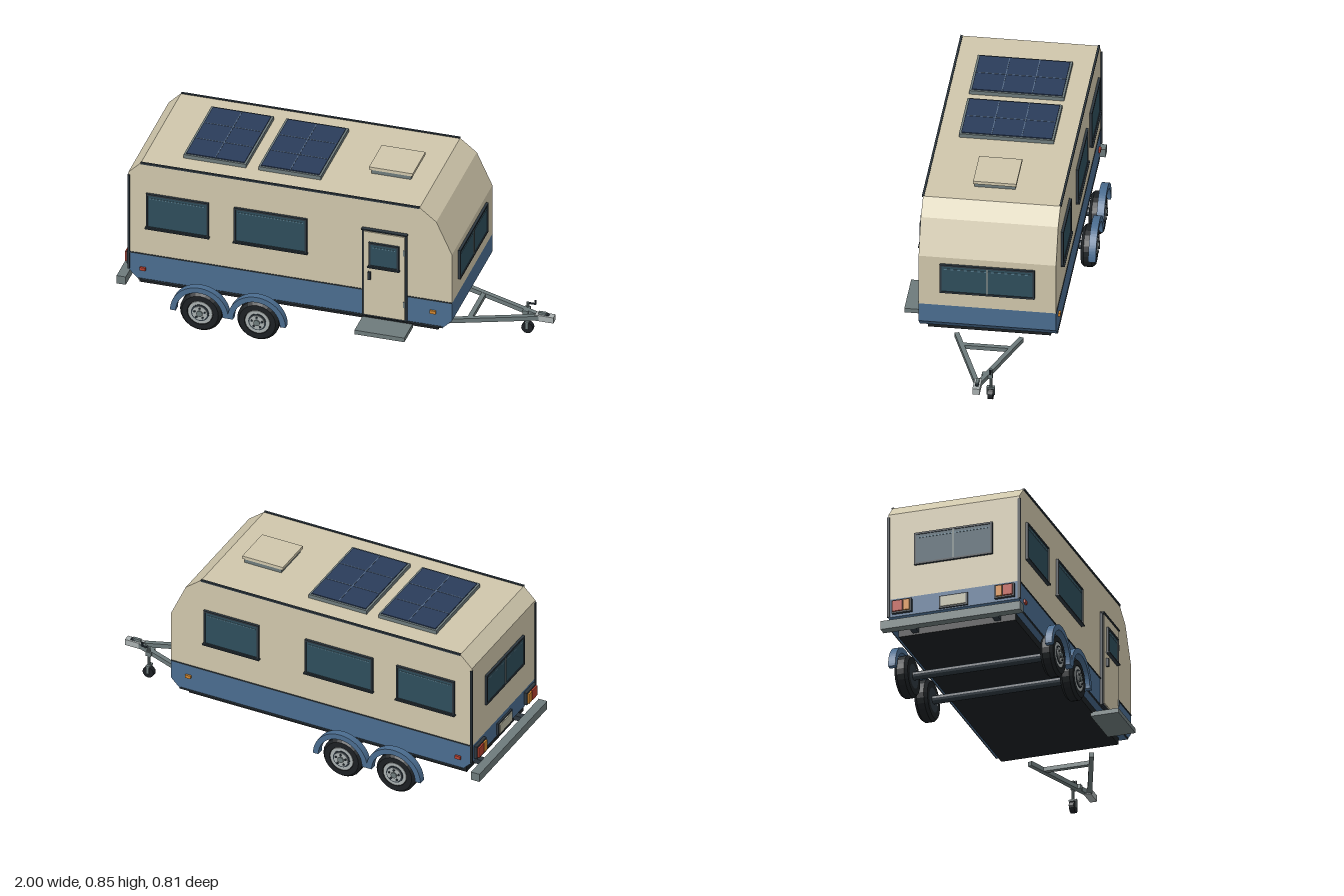
import * as THREE from 'three';

const mat = (color) => new THREE.MeshStandardMaterial({ color, flatShading: true });
const M = {
  cream: mat(0xcfc6ab), blue: mat(0x4a6c8f), dark: mat(0x2c363e), black: mat(0x1c2023),
  glass: mat(0x2e4d5b), shine: mat(0x55798a), grey: mat(0x6d7a7b), rim: mat(0xa9b0b0),
  panel: mat(0x2a3c5a), line: mat(0x5a708a), red: mat(0xb5402f), amber: mat(0xd0852f), plate: mat(0xb9b7a2),
};
const HALF = 0.3185; // half width of the cabin

function add(parent, name, geo, material, x = 0, y = 0, z = 0) {
  const m = new THREE.Mesh(geo, material);
  m.name = name;
  m.position.set(x, y, z);
  parent.add(m);
  return m;
}
const box = (p, name, w, h, d, material, x, y, z) =>
  add(p, name, new THREE.BoxGeometry(w, h, d), material, x, y, z);

function group(parent, name, x = 0, y = 0, z = 0, ry = 0) {
  const g = new THREE.Group();
  g.name = name;
  g.position.set(x, y, z);
  g.rotation.y = ry;
  parent.add(g);
  return g;
}

// Cylinder lying along z
function disc(p, name, r, depth, material, x, y, z, sides = 24) {
  const geo = new THREE.CylinderGeometry(r, r, depth, sides).rotateX(Math.PI / 2);
  return add(p, name, geo, material, x, y, z);
}

// Side profile extruded across the cabin
function prism(p, name, pts, material) {
  const shape = new THREE.Shape(pts.map(([x, y]) => new THREE.Vector2(x, y)));
  const geo = new THREE.ExtrudeGeometry(shape, { depth: 2 * HALF, bevelEnabled: false });
  return add(p, name, geo.translate(0, 0, -HALF), material);
}

// Window facing local +z: raised frame, glass, highlight, sill and optional mullion
function addWindow(p, name, w, h, x, y, z, ry, split = false) {
  const g = group(p, name, x, y, z, ry), t = 0.009, d = 0.012;
  for (const s of [-1, 1]) {
    box(g, 'frameRail', w, t, d, M.dark, 0, s * (h - t) / 2, d / 2);
    box(g, 'framePost', t, h - 2 * t, d, M.dark, s * (w - t) / 2, 0, d / 2);
  }
  box(g, 'glass', w - 2 * t, h - 2 * t, 0.008, M.glass, 0, 0, 0.004);
  box(g, 'highlight', w - 4 * t, 0.004, 0.002, M.shine, 0, h / 2 - 0.025, 0.009);
  if (split) box(g, 'mullion', 0.008, h - 2 * t, 0.011, M.grey, 0, 0, 0.006);
  else box(g, 'sill', w + 0.008, 0.006, 0.018, M.dark, 0, -h / 2, 0.009);
}

// Wheel facing local +z with its mudguard
function addWheel(p, x, side) {
  const g = group(p, 'wheel', x, 0.1, side * 0.354, side > 0 ? 0 : Math.PI);
  const profile = [[0.058, -0.032], [0.088, -0.032], [0.1, -0.018], [0.1, 0.018], [0.088, 0.032], [0.062, 0.032], [0.058, 0.02]];
  const tyre = new THREE.LatheGeometry(profile.map(([r, y]) => new THREE.Vector2(r, y)), 24);
  add(g, 'tyre', tyre.rotateX(Math.PI / 2), M.black);
  disc(g, 'innerDisc', 0.06, 0.05, M.dark, 0, 0, -0.006);
  disc(g, 'rim', 0.059, 0.012, M.rim, 0, 0, 0.025);
  disc(g, 'rimDish', 0.043, 0.004, M.dark, 0, 0, 0.032);
  disc(g, 'hubPlate', 0.036, 0.008, M.rim, 0, 0, 0.034);
  disc(g, 'hubCap', 0.015, 0.012, M.grey, 0, 0, 0.038, 12);
  for (let i = 0; i < 5; i++) {
    const a = i * Math.PI * 0.4 + Math.PI / 2;
    disc(g, 'lugNut', 0.005, 0.007, M.dark, Math.cos(a) * 0.026, Math.sin(a) * 0.026, 0.04, 6);
  }
  const arc = new THREE.Shape();
  arc.absarc(0, 0, 0.14, 0, Math.PI, false);
  arc.absarc(0, 0, 0.113, Math.PI, 0, true);
  const guard = new THREE.ExtrudeGeometry(arc, { depth: 0.035, bevelEnabled: false, curveSegments: 16 });
  add(g, 'mudguard', guard, M.blue, 0, 0, 0.01);
}

function addDoor(p) {
  const g = group(p, 'door', 0.285, 0.4275, HALF);
  box(g, 'doorFrame', 0.215, 0.467, 0.012, M.dark, 0, 0, 0.006);
  box(g, 'doorLeaf', 0.197, 0.449, 0.018, M.cream, 0, 0, 0.009);
  box(g, 'drip', 0.22, 0.006, 0.02, M.dark, 0, 0.233, 0.01);
  addWindow(g, 'doorWindow', 0.145, 0.13, 0, 0.107, 0.017, 0);
  box(g, 'handle', 0.013, 0.04, 0.014, M.dark, -0.07, -0.008, 0.023);
  for (const y of [-0.14, 0.14]) box(g, 'hinge', 0.01, 0.03, 0.022, M.grey, 0.096, y, 0.011);
}

function addSolarPanel(p, x) {
  const g = group(p, 'solarPanel', x, 0.815, 0);
  box(g, 'panelFrame', 0.3, 0.019, 0.44, M.grey, 0, 0.0095, 0);
  box(g, 'cells', 0.28, 0.006, 0.42, M.panel, 0, 0.02, 0);
  box(g, 'cellLine', 0.004, 0.002, 0.42, M.line, 0, 0.0235, 0);
  for (const s of [-1, 1]) box(g, 'cellLine', 0.28, 0.002, 0.004, M.line, 0, 0.0235, s * 0.07);
}

function addHitch(p) {
  const g = group(p, 'hitch', 0, 0.125, 0);
  for (const s of [-1, 1]) {
    const dx = 0.385, dz = -s * 0.143;
    const beam = box(g, 'drawbar', Math.hypot(dx, dz), 0.022, 0.022, M.grey, 0.54 + dx / 2, 0, s * 0.15 + dz / 2);
    beam.rotation.y = -Math.atan2(dz, dx);
  }
  box(g, 'crossbar', 0.022, 0.02, 0.23, M.grey, 0.628, 0, 0);
  box(g, 'coupler', 0.09, 0.03, 0.034, M.rim, 0.955, 0, 0);
  box(g, 'couplerSocket', 0.022, 0.006, 0.016, M.dark, 0.965, 0.017, 0);
  box(g, 'latch', 0.04, 0.012, 0.014, M.grey, 0.945, 0.021, 0);
  // Jockey wheel with its crank
  const j = group(g, 'jockeyWheel', 0.857, -0.125, -0.05);
  add(j, 'post', new THREE.CylinderGeometry(0.007, 0.007, 0.1, 10), M.grey, 0, 0.11, 0);
  box(j, 'clamp', 0.026, 0.022, 0.05, M.grey, 0, 0.125, 0.016);
  box(j, 'forkTop', 0.018, 0.008, 0.038, M.grey, 0, 0.061, 0);
  for (const s of [-1, 1]) box(j, 'forkArm', 0.014, 0.04, 0.005, M.grey, 0, 0.043, s * 0.0165);
  disc(j, 'tyre', 0.028, 0.024, M.black, 0, 0.028, 0, 16);
  box(j, 'crank', 0.045, 0.006, 0.008, M.dark, 0.018, 0.157, 0);
  box(j, 'crankHandle', 0.007, 0.022, 0.008, M.dark, 0.036, 0.166, 0);
}

export function createModel() {
  const root = new THREE.Group();
  root.name = 'travelTrailer';
  const t = group(root, 'trailer', 0, 0, -0.007);

  // Cabin shell in two colours
  prism(t, 'upperBody', [[-0.95, 0.325], [0.605, 0.325], [0.605, 0.588], [0.53, 0.752], [0.45, 0.815], [-0.89, 0.815], [-0.95, 0.755]], M.cream);
  prism(t, 'lowerBody', [[-0.9, 0.185], [0.56, 0.185], [0.605, 0.23], [0.605, 0.325], [-0.95, 0.325], [-0.95, 0.235]], M.blue);
  box(t, 'chassis', 1.435, 0.035, 0.57, M.black, -0.188, 0.1685, 0);

  // Trim, marker lights and wheels on both sides
  for (const s of [-1, 1]) {
    box(t, 'roofRail', 1.34, 0.009, 0.01, M.dark, -0.22, 0.815, s * HALF);
    box(t, 'beltTrim', 1.555, 0.006, 0.006, M.dark, -0.1725, 0.326, s * HALF);
    box(t, 'sillTrim', 1.46, 0.008, 0.006, M.dark, -0.17, 0.189, s * HALF);
    box(t, 'cornerTrim', 0.01, 0.505, 0.014, M.dark, -0.948, 0.49, s * HALF);
    box(t, 'rearMarker', 0.028, 0.016, 0.014, M.red, -0.88, 0.247, s * (HALF + 0.003));
    box(t, 'frontMarker', 0.028, 0.016, 0.014, M.amber, 0.515, 0.266, s * (HALF + 0.003));
    for (const x of [-0.585, -0.31]) addWheel(t, x, s);
    const ry = s > 0 ? 0 : Math.PI;
    addWindow(t, 'rearSideWindow', 0.3, 0.185, -0.7125, 0.567, s * HALF, ry);
    addWindow(t, 'midSideWindow', 0.35, 0.185, -0.265, 0.567, s * HALF, ry);
  }
  for (const x of [-0.585, -0.31]) disc(t, 'axle', 0.02, 0.66, M.dark, x, 0.1, 0, 12);

  // Remaining windows and the entrance
  addWindow(t, 'frontSideWindow', 0.285, 0.185, 0.29, 0.567, -HALF, Math.PI);
  addWindow(t, 'frontWindow', 0.44, 0.155, 0.605, 0.477, 0, Math.PI / 2, true);
  addWindow(t, 'rearWindow', 0.38, 0.16, -0.95, 0.56, 0, -Math.PI / 2, true);
  addDoor(t);
  box(t, 'step', 0.24, 0.022, 0.135, M.grey, 0.285, 0.146, 0.344);

  // Rear lights, plate and bumper
  for (const s of [-1, 1]) {
    box(t, 'lampHousing', 0.018, 0.066, 0.095, M.dark, -0.957, 0.28, s * 0.25);
    box(t, 'brakeLamp', 0.012, 0.052, 0.048, M.red, -0.968, 0.28, s * 0.268);
    box(t, 'turnLamp', 0.012, 0.052, 0.03, M.amber, -0.968, 0.28, s * 0.225);
    box(t, 'bumperBracket', 0.09, 0.025, 0.03, M.dark, -0.93, 0.172, s * 0.2);
  }
  box(t, 'plateHolder', 0.012, 0.062, 0.14, M.dark, -0.953, 0.272, 0);
  box(t, 'plate', 0.006, 0.048, 0.122, M.plate, -0.961, 0.272, 0);
  box(t, 'bumper', 0.044, 0.042, 0.68, M.grey, -0.978, 0.178, 0);

  // Roof equipment
  for (const x of [-0.565, -0.205]) addSolarPanel(t, x);
  box(t, 'ventBase', 0.19, 0.022, 0.19, M.grey, 0.245, 0.825, 0);
  box(t, 'ventLid', 0.21, 0.015, 0.2, M.cream, 0.245, 0.843, 0);

  addHitch(t);
  return root;
}
